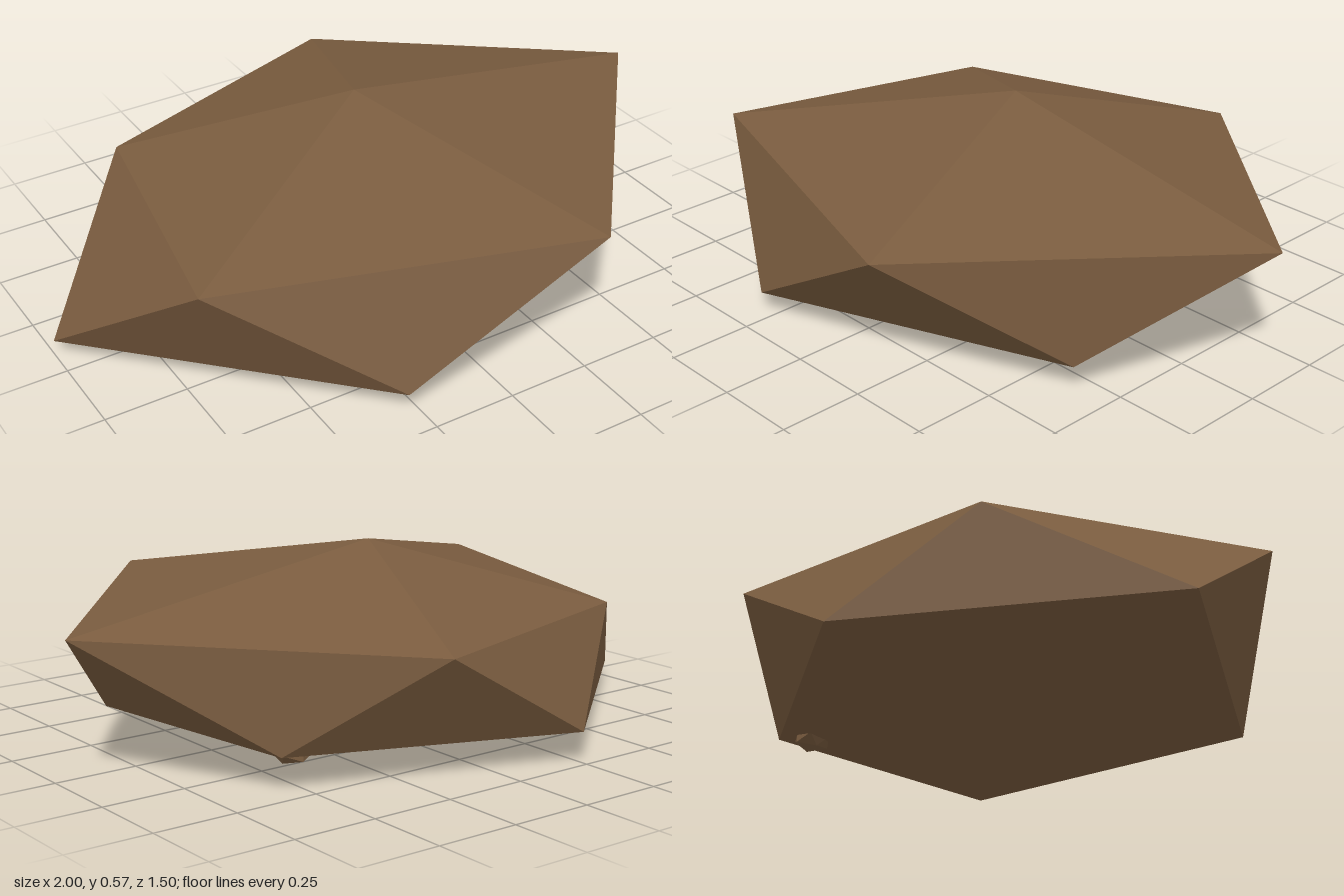
import * as THREE from 'three';

// Faceted stone: two staggered five-point rings closed by a top and a bottom point
function stoneGeometry(top, upper, lower, bottom) {
  const corners = [];
  const face = (...points) => points.forEach((p) => corners.push(...p));
  for (let i = 0; i < 5; i++) {
    const j = (i + 1) % 5;
    face(top, upper[j], upper[i]);
    face(upper[i], upper[j], lower[i]);
    face(lower[i], upper[j], lower[j]);
    face(bottom, lower[i], lower[j]);
  }
  const geometry = new THREE.BufferGeometry();
  geometry.setAttribute('position', new THREE.Float32BufferAttribute(corners, 3));
  geometry.computeVertexNormals();
  return geometry;
}

export function createModel() {
  const model = new THREE.Group();
  model.name = 'rock';

  const stone = new THREE.MeshStandardMaterial({ color: 0x7a5c3f, flatShading: true });
  stone.name = 'brown stone';

  // Main boulder
  const upper = [
    [1, 0.41, -0.085], [0.31, 0.415, 0.745], [-0.765, 0.4, 0.39],
    [-0.6, 0.367, -0.47], [0.24, 0.375, -0.75],
  ];
  const lower = [
    [0.65, 0.083, 0.33], [-0.285, 0.065, 0.665], [-1, 0.05, -0.085],
    [-0.25, 0.09, -0.735], [0.575, 0.1, -0.45],
  ];
  const boulder = new THREE.Mesh(
    stoneGeometry([0, 0.57, -0.085], upper, lower, [0, 0, -0.085]), stone);
  boulder.name = 'boulder';
  model.add(boulder);

  // Small pebble half sunk into the underside
  const pebble = new THREE.Mesh(new THREE.IcosahedronGeometry(0.06, 0), stone);
  pebble.name = 'pebble';
  pebble.scale.y = 0.6;
  pebble.position.set(0.49, 0.088, -0.38);
  model.add(pebble);

  return model;
}
